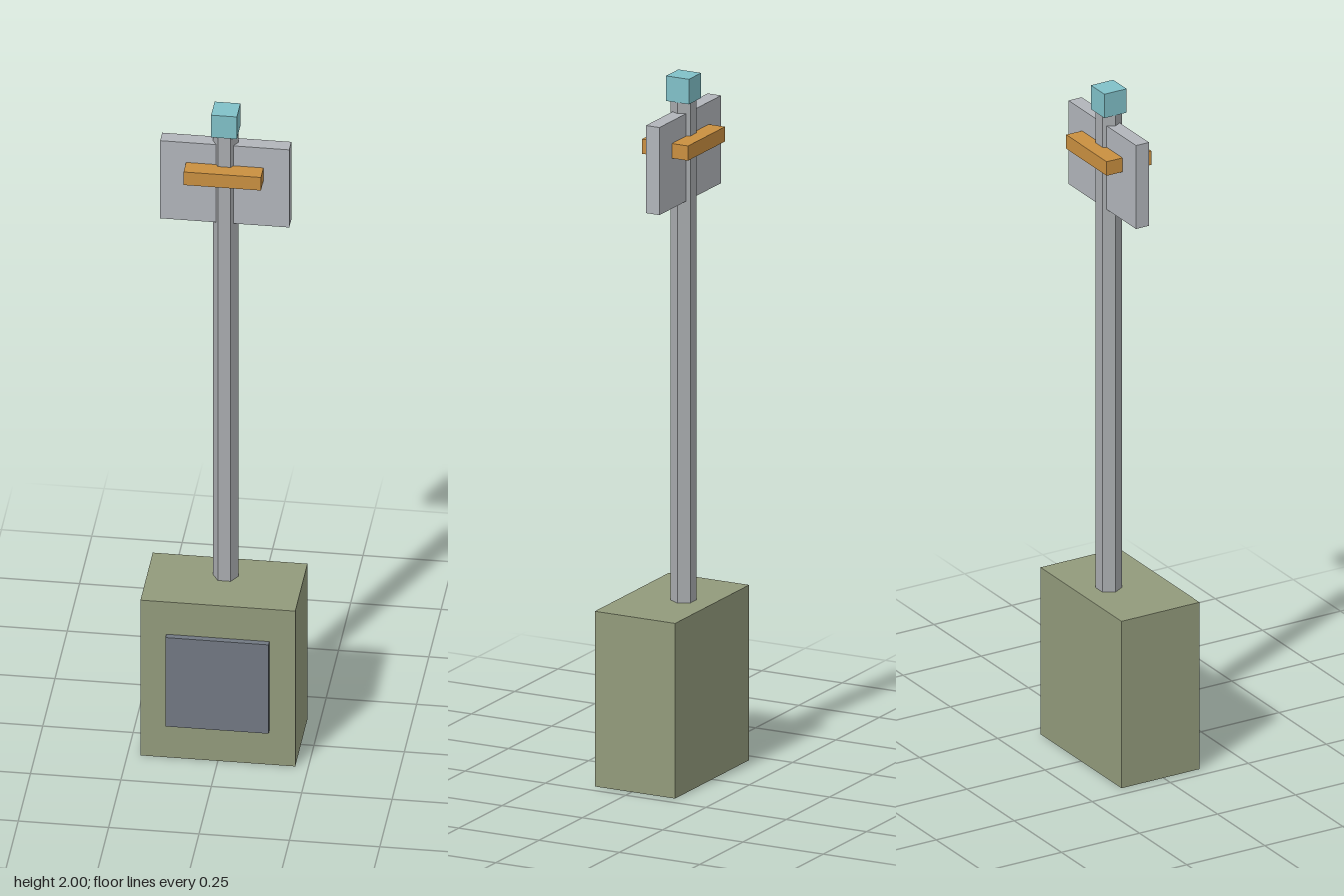
import * as THREE from 'three';

const paint = (name, color) => {
  const m = new THREE.MeshStandardMaterial({ color });
  m.name = name;
  return m;
};

export function createModel() {
  const olive = paint('olive', 0x929a7b);
  const slate = paint('slate', 0x717882);
  const steel = paint('steel', 0xa8abae);
  const paleGrey = paint('paleGrey', 0xb1b5ba);
  const orange = paint('orange', 0xc98f40);
  const teal = paint('teal', 0x80c0c8);

  const model = new THREE.Group();
  model.name = 'sensorMast';
  const mastZ = -0.0455;

  const add = (name, geometry, material, y, z) => {
    const mesh = new THREE.Mesh(geometry, material);
    mesh.name = name;
    mesh.position.set(0, y, z);
    model.add(mesh);
    return mesh;
  };
  const box = (name, material, [w, h, d], y, z) =>
    add(name, new THREE.BoxGeometry(w, h, d), material, y, z);

  // Base cabinet with a raised door on the front
  box('cabinet', olive, [0.428, 0.5, 0.25], 0.25, -0.0095);
  box('cabinetDoor', slate, [0.285, 0.286, 0.036], 0.253, 0.115);

  // Six-sided mast with a flat face to the front
  const hex = new THREE.CylinderGeometry(0.0357, 0.0357, 1.43, 6).toNonIndexed();
  hex.rotateY(Math.PI / 6);
  hex.computeVertexNormals();
  add('mast', hex, steel, 1.215, mastZ);

  // Head: flat panel, crossbar and cap
  box('panel', paleGrey, [0.357, 0.25, 0.042], 1.772, mastZ);
  box('crossbar', orange, [0.214, 0.042, 0.143], 1.812, mastZ);
  box('cap', teal, [0.0714, 0.0714, 0.0714], 1.9643, mastZ);

  return model;
}
